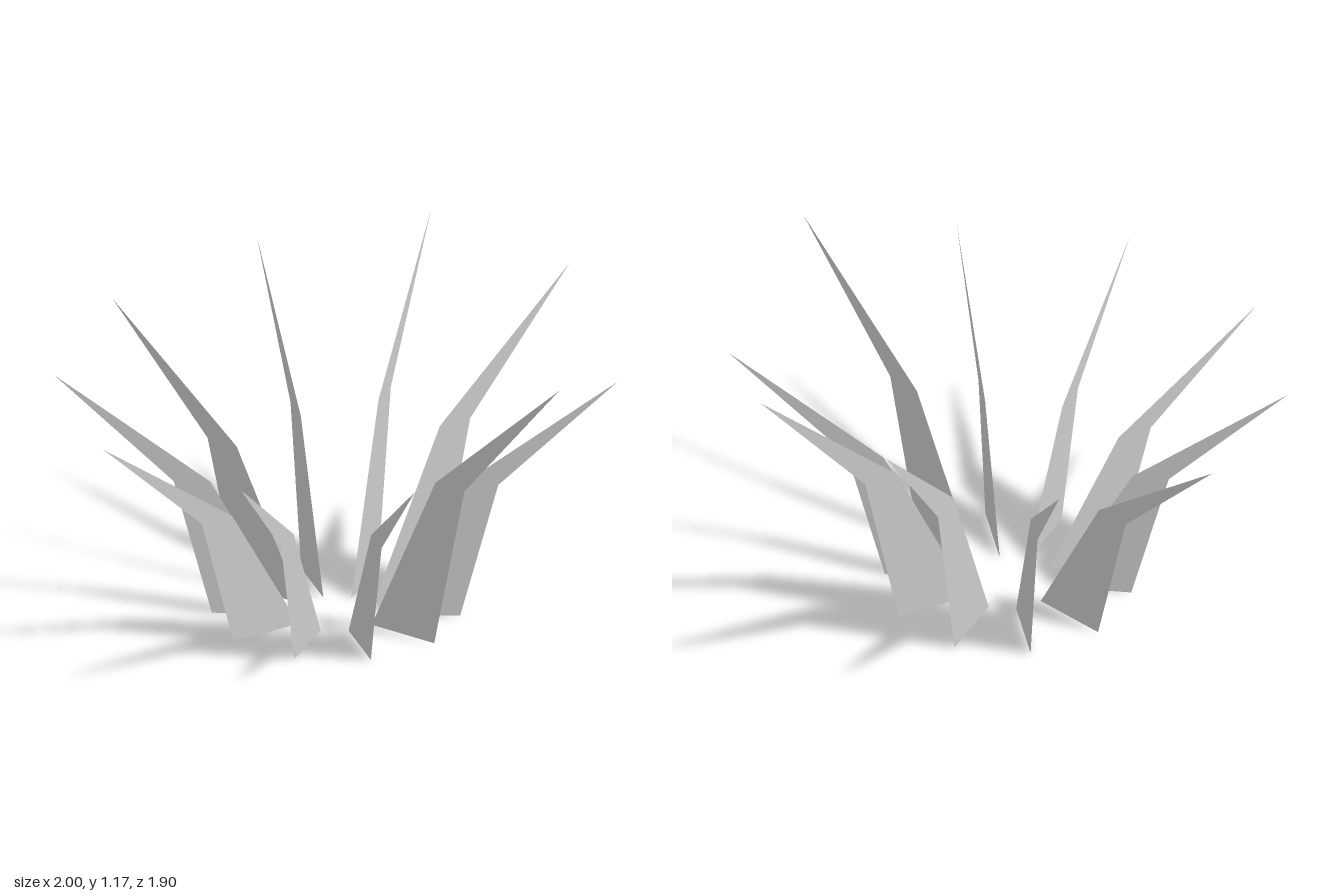
import * as THREE from 'three';

// Flat, bent leaf blade in the XY plane; x is the distance from the plant's centre
function bladeGeometry(height) {
  const bend = height * 0.555;
  const shape = new THREE.Shape([
    new THREE.Vector2(0.16, 0),
    new THREE.Vector2(0.44, 0),
    new THREE.Vector2(0.575, bend),
    new THREE.Vector2(1, height),
    new THREE.Vector2(0.445, bend),
  ]);
  return new THREE.ShapeGeometry(shape);
}

export function createModel() {
  const group = new THREE.Group();
  group.name = 'grassTuft';
  const material = new THREE.MeshStandardMaterial({
    color: 0xcccccc, side: THREE.DoubleSide, flatShading: true,
  });

  // Tip heights, going round from +x towards +z
  const heights = [0.905, 1.11, 0.866, 0.866, 0.865, 0.905, 0.955, 1.05, 1.166, 1.112];
  heights.forEach((height, i) => {
    const blade = new THREE.Mesh(bladeGeometry(height), material);
    blade.name = `blade${i + 1}`;
    blade.rotation.y = -i * Math.PI * 2 / heights.length;
    group.add(blade);
  });
  return group;
}
